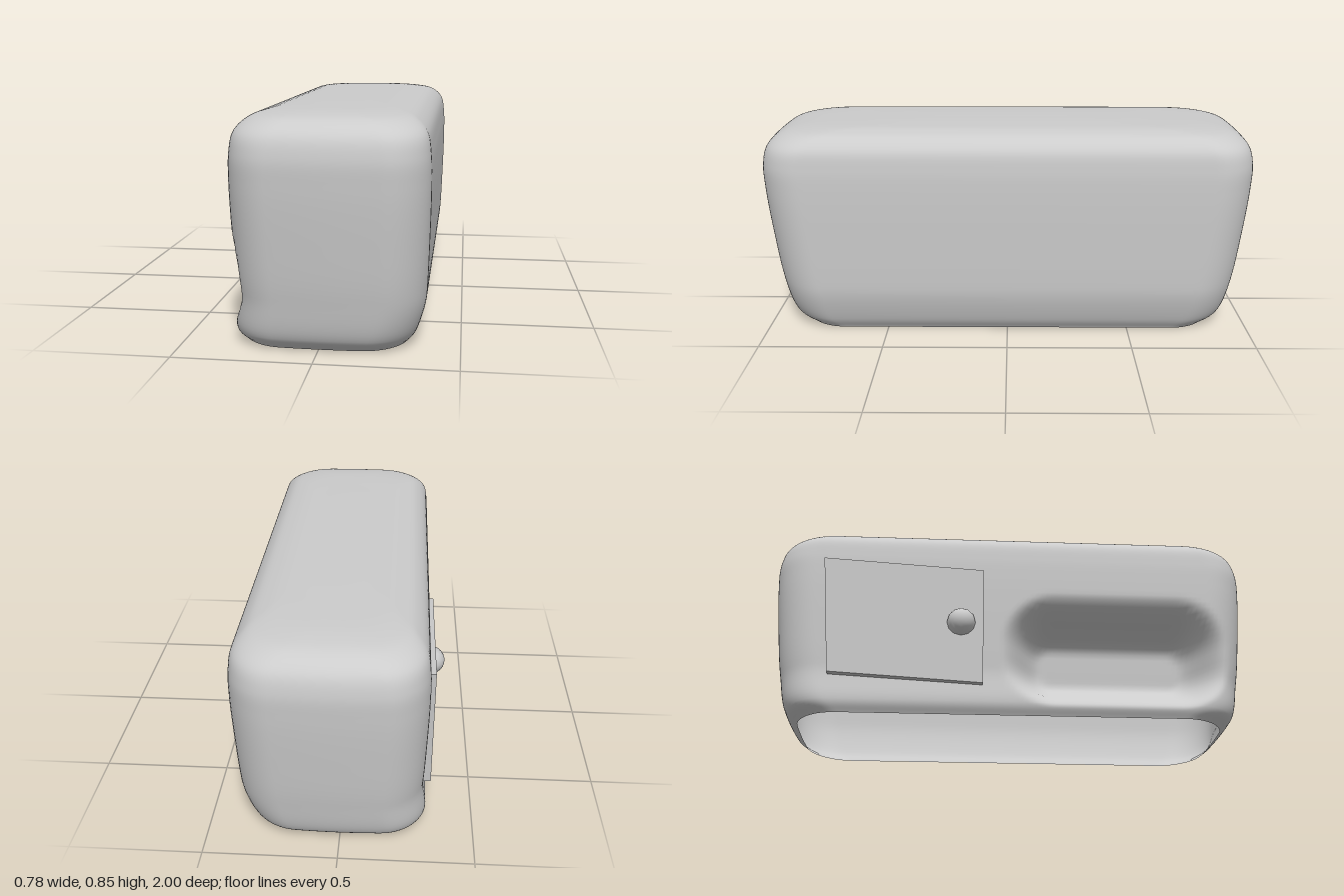
import * as THREE from 'three';

const { smoothstep } = THREE.MathUtils;

// Points of a rounded rectangle, same count for every size, running from +x towards +z
function outline(hx, hz, radius) {
  const r = Math.min(radius, hx, hz);
  const pts = [];
  const corners = [[1, 1, 0], [-1, 1, 1], [-1, -1, 2], [1, -1, 3]];
  corners.forEach(([sx, sz, q], k) => {
    const cx = sx * (hx - r), cz = sz * (hz - r);
    const arc = 14;
    for (let i = 0; i <= arc; i++) {
      const a = (q + i / arc) * Math.PI / 2;
      pts.push([cx + r * Math.cos(a), cz + r * Math.sin(a)]);
    }
    // straight run to the next corner
    const [nx, nz] = corners[(k + 1) % 4];
    const a = (q + 1) * Math.PI / 2;
    const start = pts[pts.length - 1];
    const end = [nx * (hx - r) + r * Math.cos(a), nz * (hz - r) + r * Math.sin(a)];
    const n = k % 2 ? 80 : 14;
    for (let i = 1; i < n; i++) {
      pts.push([0, 1].map((c) => start[c] + (end[c] - start[c]) * i / n));
    }
  });
  // ends bulge slightly
  return pts.map(([x, z]) => [x, z * (1 - 0.2 * x * x)]);
}

// Depth of the soft alcove pressed into the -x wall
function alcove(z, y) {
  const r = 0.21;
  const dz = Math.abs(z - 0.42) - (0.46 - r);
  const dy = Math.abs(y - 0.28) - (0.24 - r);
  const d = Math.hypot(Math.max(dz, 0), Math.max(dy, 0)) + Math.min(Math.max(dz, dy), 0) - r;
  return 0.2 * smoothstep(-d, -0.01, 0.17);
}

// Open-bottomed soft box, lofted through horizontal rings
function bodyGeometry() {
  // half width, height, half length
  const profile = new THREE.CatmullRomCurve3([
    [0.305, 0, 0.86], [0.33, 0.05, 0.912], [0.343, 0.2, 0.95], [0.351, 0.4, 0.978],
    [0.355, 0.6, 0.998], [0.352, 0.7, 1], [0.34, 0.77, 0.98], [0.3, 0.816, 0.925],
    [0.24, 0.838, 0.83], [0.12, 0.848, 0.55], [0, 0.85, 0.3],
  ].map((p) => new THREE.Vector3(...p)));
  const rings = 90;
  const pos = [], idx = [];
  let n = 0;
  for (let i = 0; i <= rings; i++) {
    const p = profile.getPoint(i / rings);
    const pts = outline(p.x, p.z, 0.16);
    const centre = 0.005 + 0.03 * smoothstep(p.y, 0, 0.2);
    n = pts.length;
    for (const [x, z] of pts) {
      const push = x < -0.1 && p.y < 0.6 ? alcove(z, p.y) : 0;
      pos.push(centre + x + push, p.y, z);
    }
  }
  for (let i = 0; i < rings; i++) {
    for (let j = 0; j < n; j++) {
      const a = i * n + j, b = i * n + (j + 1) % n;
      idx.push(a, a + n, b, b, a + n, b + n);
    }
  }
  const g = new THREE.BufferGeometry();
  g.setAttribute('position', new THREE.Float32BufferAttribute(pos, 3));
  g.setIndex(idx);
  g.computeVertexNormals();
  return g;
}

export function createModel() {
  const group = new THREE.Group();
  const grey = new THREE.MeshStandardMaterial({ color: 0xcccccc });
  const shell = new THREE.MeshStandardMaterial({ color: 0xcccccc, side: THREE.DoubleSide });
  const add = (name, geometry, material) => {
    const mesh = new THREE.Mesh(geometry, material);
    mesh.name = name;
    group.add(mesh);
    return mesh;
  };

  add('body', bodyGeometry(), shell);

  // Slightly crooked door panel, drawn in z and y
  const panel = new THREE.Shape([[-0.73, 0.155], [-0.12, 0.12], [-0.12, 0.625], [-0.78, 0.665]]
    .map((p) => new THREE.Vector2(...p)));
  const door = new THREE.ExtrudeGeometry(panel, { depth: 0.033, bevelEnabled: false });
  door.rotateY(-Math.PI / 2);
  add('door', door, grey).position.x = -0.305;

  // Half-round door knob facing -x
  const knob = new THREE.SphereGeometry(0.058, 12, 6, 0, Math.PI * 2, 0, Math.PI / 2);
  knob.rotateZ(Math.PI / 2);
  add('doorKnob', knob, grey).position.set(-0.336, 0.382, -0.21);

  return group;
}
